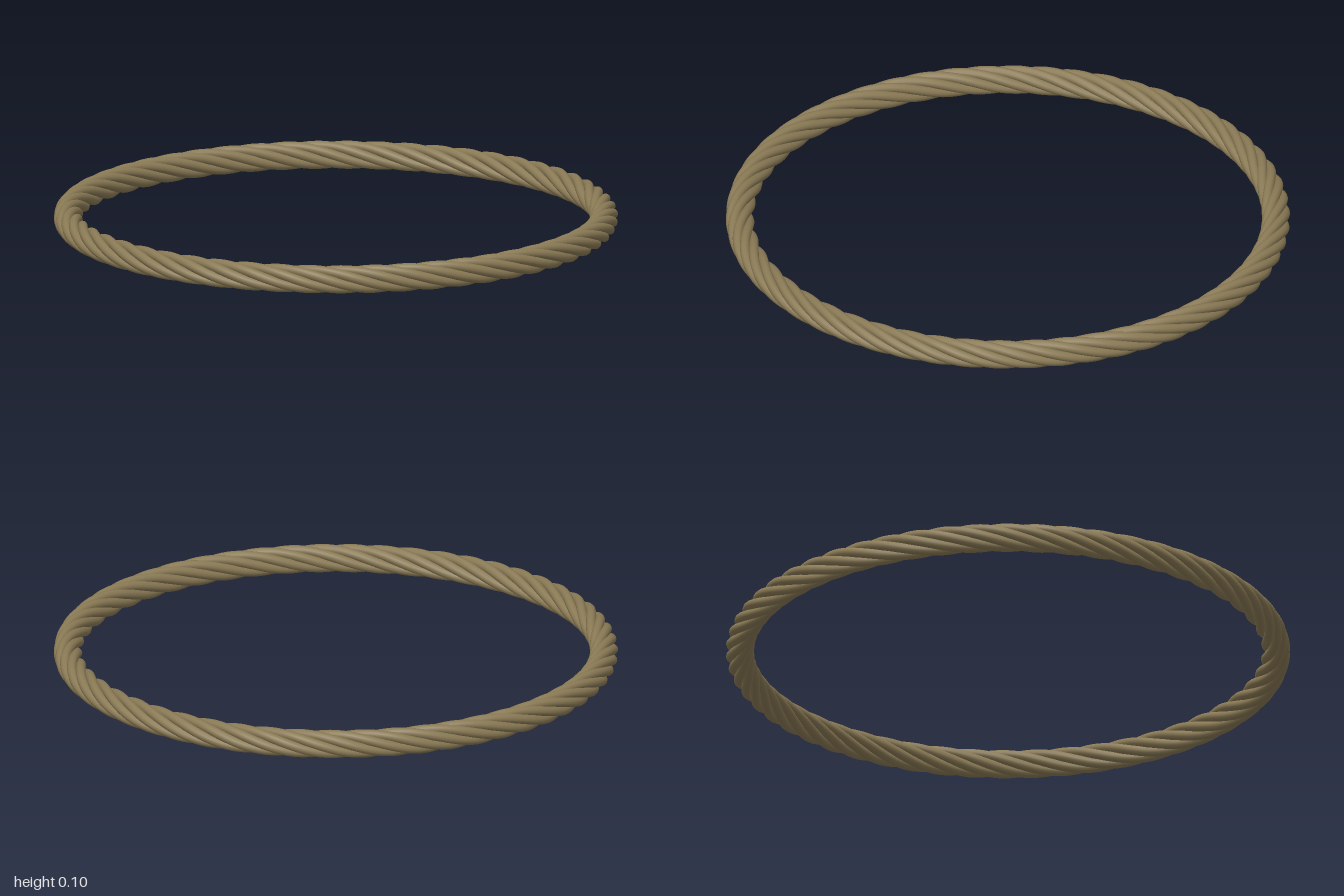
import * as THREE from 'three';

const STRANDS = 6;
const TURNS = 9;          // full twists around the ring
const RING = 0.95;        // centre line of the rope
const LAY = 0.033;        // distance of a strand from the centre line
const STRAND = 0.0175;    // strand radius

// One strand winding around the circular centre line
class StrandCurve extends THREE.Curve {
  constructor(phase) {
    super();
    this.phase = phase;
  }
  getPoint(t, target = new THREE.Vector3()) {
    const around = t * Math.PI * 2;
    const twist = this.phase - TURNS * around;
    const radius = RING + LAY * Math.cos(twist);
    return target.set(
      radius * Math.sin(around),
      LAY + STRAND + LAY * Math.sin(twist),
      radius * Math.cos(around)
    );
  }
  // The winding is already even, so skip arc length resampling
  getPointAt(t, target) { return this.getPoint(t, target); }
  getTangentAt(t, target) { return this.getTangent(t, target); }
  getTangent(t, target = new THREE.Vector3()) {
    const e = 1e-4;
    return target.copy(this.getPoint(t + e)).sub(this.getPoint(t - e)).normalize();
  }
}

export function createModel() {
  const group = new THREE.Group();
  group.name = 'ropeRing';

  const rope = new THREE.MeshStandardMaterial({ color: 0x8a7a55 });
  rope.name = 'ropeTan';

  // Twisted strands
  for (let i = 0; i < STRANDS; i++) {
    const curve = new StrandCurve((i / STRANDS) * Math.PI * 2);
    const strand = new THREE.Mesh(new THREE.TubeGeometry(curve, 360, STRAND, 12, true), rope);
    strand.name = `strand${i + 1}`;
    group.add(strand);
  }

  return group;
}
